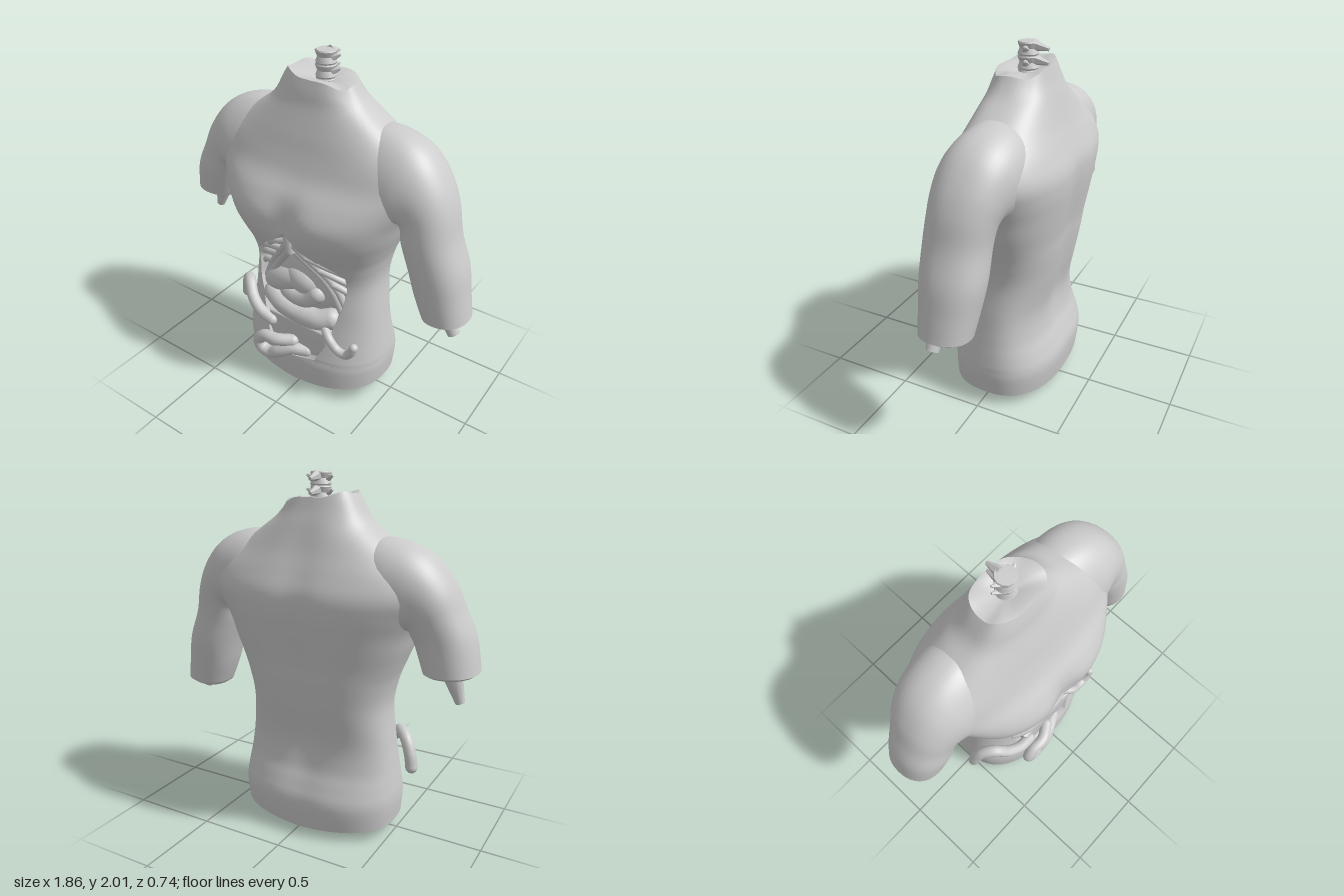
import * as THREE from 'three';
import { toCreasedNormals } from 'three/addons/utils/BufferGeometryUtils.js';

const MID = -0.03; // x of the body's centre line
const material = new THREE.MeshStandardMaterial({ color: 0xcccccc, side: THREE.DoubleSide });
const V = (x, y, z) => new THREE.Vector3(x, y, z);
const spow = (v, p) => Math.sign(v) * Math.abs(v) ** p;
const bell = (v, r) => Math.exp(-((v / r) ** 2));
const span = (a, b, n, f) => Array.from({ length: n + 1 }, (_, i) => f(a + (b - a) * i / n));

function mesh(name, geometry) {
  const m = new THREE.Mesh(geometry, material);
  m.name = name;
  return m;
}

// Skin through rows of points; collapsed triangles are dropped
function loft(name, rows, crease = 0.8) {
  const pos = [];
  const tri = (a, b, c) => {
    if (a.distanceTo(b) > 1e-5 && b.distanceTo(c) > 1e-5 && c.distanceTo(a) > 1e-5)
      for (const p of [a, b, c]) pos.push(p.x, p.y, p.z);
  };
  for (let i = 0; i < rows.length - 1; i++)
    for (let j = 0; j < rows[i].length - 1; j++) {
      const a = rows[i][j], b = rows[i][j + 1], c = rows[i + 1][j + 1], d = rows[i + 1][j];
      tri(a, b, c);
      tri(a, c, d);
    }
  const g = new THREE.BufferGeometry();
  g.setAttribute('position', new THREE.Float32BufferAttribute(pos, 3));
  return mesh(name, toCreasedNormals(g, crease));
}

// Catmull-Rom refinement of a table of numbers
function refine(table, n = 6) {
  const out = [], last = table.length - 1;
  for (let i = 0; i < last; i++)
    for (let k = 0; k < n; k++) {
      const t = k / n, [p, a, b, q] = [Math.max(i - 1, 0), i, i + 1, Math.min(i + 2, last)].map((m) => table[m]);
      out.push(a.map((v, c) => v + 0.5 * t * (b[c] - p[c] + t * (2 * p[c] - 5 * v + 4 * b[c] - q[c] + t * (3 * (v - b[c]) + q[c] - p[c])))));
    }
  return [...out, table[last]];
}

// Linear lookup by the first column
function at(table, y) {
  if (y <= table[0][0]) return table[0];
  for (let i = 1; i < table.length; i++) {
    const a = table[i - 1], b = table[i];
    if (y <= b[0]) return a.map((v, c) => v + (b[c] - v) * (y - a[0]) / (b[0] - a[0]));
  }
  return table[table.length - 1];
}

// Torso profile: y, half width, front z, back z
const body = refine([
  [0.07, 0.47, 0.30, -0.325], [0.2, 0.48, 0.30, -0.34], [0.3, 0.47, 0.28, -0.31], [0.4, 0.455, 0.26, -0.275],
  [0.55, 0.435, 0.24, -0.265], [0.75, 0.415, 0.235, -0.305], [0.9, 0.44, 0.28, -0.33], [1.0, 0.475, 0.33, -0.34],
  [1.1, 0.515, 0.37, -0.355], [1.2, 0.55, 0.375, -0.37], [1.3, 0.60, 0.325, -0.38], [1.4, 0.645, 0.25, -0.375],
  [1.5, 0.62, 0.205, -0.335], [1.6, 0.49, 0.17, -0.29], [1.68, 0.38, 0.14, -0.26], [1.75, 0.285, 0.115, -0.235],
  [1.81, 0.235, 0.10, -0.21], [1.87, 0.195, 0.08, -0.19],
]);
// Belly opening: y, right and left edge measured from the centre line
const opening = [
  [0.21, 0, 0], [0.24, -0.17, 0.16], [0.35, -0.21, 0.22], [0.45, -0.25, 0.24], [0.55, -0.28, 0.27], [0.62, -0.31, 0.29],
  [0.75, -0.32, 0.31], [0.85, -0.29, 0.31], [0.9, -0.24, 0.27], [0.97, -0.17, 0.18], [1.03, -0.08, 0.09], [1.1, 0, 0],
];

// Torso surface point at angle a from the front
function skin(a, y) {
  const [, w, zf, zb] = at(body, y), c = Math.cos(a), dx = w * spow(Math.sin(a), 0.8);
  let z = -0.03 + (c > 0 ? zf + 0.03 : -zb - 0.03) * spow(c, 0.8);
  if (c > 0) z -= 0.045 * bell(dx, 0.1) * bell(y - 1.17, 0.13);
  else z += 0.03 * bell(dx, 0.1) * bell(y - 0.95, 0.6);
  const neck = THREE.MathUtils.smoothstep(y, 1.72, 1.87), hem = 1 - THREE.MathUtils.smoothstep(y, 0.07, 0.2);
  return V(MID + dx, y + neck * (0.005 - 0.13 * dx + 0.008 * Math.sin(5 * a)) - hem * 0.035 * (1 - Math.abs(dx) / w), z);
}
const angleAt = (dx, y) => Math.sign(dx) * Math.asin(Math.min(1, Math.abs(dx) / at(body, y)[1]) ** 1.25);
const onSkin = (x, y, offset) => V(x, y, skin(angleAt(x - MID, y), y).z + offset);

// Copy of a row shrunk towards a point on the centre line, blending its height to y
const shrink = (row, k, y, cz, flat = 1) => row.map((p) => V(MID + (p.x - MID) * k, p.y + (y - p.y) * flat, cz + (p.z - cz) * k));

function torso(group) {
  const ys = [0.07, 0.1, 0.14, 0.18, 0.21, ...span(0.24, 1.1, 48, (y) => y), ...span(1.12, 1.87, 36, (y) => y)];
  const rows = ys.map((y) => {
    const [, r, l] = at(opening, y);
    return span(angleAt(l, y), 2 * Math.PI + angleAt(r, y), 120, (a) => skin(a, y));
  });
  const base = rows[0], rim = rows[rows.length - 1];
  group.add(loft('torso', [shrink(base, 0, 0, 0), shrink(base, 0.55, 0.008, 0), ...rows], 0.7));
  group.add(loft('neckStump', [rim, shrink(rim, 0.75, 1.875, -0.06, 0.5), shrink(rim, 0.4, 1.85, -0.06, 0.9), shrink(rim, 0, 1.84, -0.06)], 1));
  // Hollow behind the opening
  group.add(loft('bellyCavity', ys.filter((y) => y >= 0.21 && y <= 1.1001).map((y) => {
    const [, r, l] = at(opening, y), a = skin(angleAt(r, y), y), b = skin(angleAt(l, y), y);
    const depth = 0.13 * Math.min(1, (l - r) / 0.3);
    return span(0, 1, 24, (t) => a.clone().lerp(b, t).add(V(0, 0, -depth * Math.sqrt(Math.max(0, Math.sin(Math.PI * t))))));
  }), 1));
}

// Arm sections: outer x y, inner x y, front z, back z, forward lean of the lower front
const shoulder = [
  [0.24, 1.66, 0.30, 1.22, 0.10, -0.22, 0.03], [0.38, 1.685, 0.42, 1.17, 0.165, -0.265, 0.05], [0.53, 1.66, 0.495, 1.18, 0.175, -0.262, 0.05],
  [0.65, 1.59, 0.525, 1.20, 0.165, -0.245, 0.035], [0.745, 1.47, 0.535, 1.21, 0.155, -0.225, 0.02], [0.805, 1.34, 0.54, 1.19, 0.15, -0.205, 0.01],
];
const longArm = [
  [0.845, 1.18, 0.55, 1.12, 0.155, -0.19, 0], [0.905, 1.01, 0.60, 0.97, 0.15, -0.19, 0],
  [0.935, 0.86, 0.645, 0.83, 0.14, -0.17, 0], [0.96, 0.73, 0.70, 0.70, 0.13, -0.15, 0],
];
const shortArm = [[0.865, 1.2, 0.56, 1.14, 0.15, -0.19, 0], [0.90, 1.03, 0.61, 1.01, 0.13, -0.19, 0]];

function arm(name, side, sections) {
  const rows = refine([...shoulder, ...sections]).map(([ox, oy, ix, iy, zf, zb, lean]) => span(0, 2 * Math.PI, 40, (t) => {
    const c = spow(Math.cos(t), 0.9), s = spow(Math.sin(t), 0.9) * side;
    const z = (zf + zb) / 2 + (zf - zb) / 2 * s - lean * c * Math.max(0, s);
    return V(MID + side * ((ox + ix) / 2 + (ox - ix) / 2 * c), (oy + iy) / 2 + (oy - iy) / 2 * c, z);
  }));
  const end = rows[rows.length - 1], mid = end[0].clone().add(end[20]).multiplyScalar(0.5);
  rows.push(end.map((p) => p.clone().lerp(mid, 0.15).add(V(0, -0.015, 0))), end.map(() => mid.clone().add(V(0, -0.02, 0))));
  return loft(name, rows, 0.7);
}

// Rounded tube through points
function tube(name, pts, r, ends = true) {
  const g = new THREE.Group();
  g.name = name;
  g.add(mesh(name + 'Tube', new THREE.TubeGeometry(new THREE.CatmullRomCurve3(pts), pts.length * 8, r, 14)));
  if (ends) for (const p of [pts[0], pts[pts.length - 1]]) {
    const cap = mesh(name + 'End', new THREE.SphereGeometry(r, 14, 10));
    cap.position.copy(p);
    g.add(cap);
  }
  return g;
}

// Tapered bar between two points
function bar(name, a, b, ra, rb, sides = 10) {
  const m = mesh(name, toCreasedNormals(new THREE.CylinderGeometry(rb, ra, a.distanceTo(b), sides), 0.8));
  m.position.copy(a).lerp(b, 0.5);
  m.quaternion.setFromUnitVectors(V(0, 1, 0), b.clone().sub(a).normalize());
  return m;
}

function blob(name, pos, size, tilt = 0) {
  const m = mesh(name, new THREE.SphereGeometry(1, 32, 20));
  m.position.set(...pos);
  m.scale.set(...size);
  m.rotation.z = tilt;
  return m;
}

function neckSpine() {
  const g = new THREE.Group();
  g.name = 'neckSpine';
  const profile = [[0, -0.037], [0.052, -0.037], [0.057, -0.028], [0.046, 0], [0.056, 0.028], [0.052, 0.035], [0, 0.035]].map((p) => new THREE.Vector2(...p));
  for (let i = 0; i < 3; i++) {
    const y = 1.821 + i * 0.072, z = -0.062;
    const vertebra = mesh('vertebra', toCreasedNormals(new THREE.LatheGeometry(profile, 12), 0.6));
    vertebra.position.set(MID, y, z);
    g.add(vertebra, bar('spinousProcess', V(MID, y + 0.015, z - 0.03), V(MID, y, z - 0.115), 0.032, 0.01, 6));
    for (const s of [-1, 1])
      g.add(bar('transverseProcess', V(MID + s * 0.03, y - 0.005, z), V(MID + s * 0.078, y + 0.015, z - 0.015), 0.025, 0.006, 6));
  }
  return g;
}

function ribcage() {
  const g = new THREE.Group();
  g.name = 'ribcage';
  g.add(bar('sternum', onSkin(MID, 1.10, -0.025), onSkin(MID, 0.96, -0.03), 0.018, 0.034, 8));
  for (const s of [-1, 1]) {
    // Doubled arch makes a broad band of cartilage
    for (const [shift, r] of [[0, 0.024], [0.03, 0.022]]) {
      const arch = [[0.01, 0.97], [0.08, 0.875], [0.16, 0.775], [0.22, 0.68], [0.265, 0.58]];
      g.add(tube('costalArch', arch.map(([x, y]) => onSkin(MID + s * (x + shift * 0.6), y + shift, -0.045)), r));
    }
    // Ribs sloping from the arch out under the skin
    for (const [x, y, ex, ey] of [[0.03, 1.02, 0.17, 0.94], [0.08, 0.93, 0.29, 0.85], [0.14, 0.85, 0.32, 0.76], [0.2, 0.76, 0.33, 0.68]])
      g.add(tube('rib', [onSkin(MID + s * x, y, -0.04), onSkin(MID + s * (x * 0.45 + ex * 0.55), y * 0.5 + ey * 0.5 + 0.012, -0.035), onSkin(MID + s * ex, ey, -0.04)], 0.019, false));
  }
  return g;
}

function organs() {
  const g = new THREE.Group();
  g.name = 'organs';
  const path = (list, z) => list.map(([x, y, dz = 0]) => V(x, y, z + dz));
  g.add(blob('diaphragm', [MID, 0.7, 0.11], [0.26, 0.24, 0.085]));
  g.add(blob('liver', [-0.16, 0.655, 0.15], [0.175, 0.085, 0.085], 0.45), blob('liverLobe', [-0.03, 0.69, 0.15], [0.13, 0.09, 0.08], -0.25));
  g.add(tube('stomach', path([[-0.13, 0.585, -0.01], [-0.06, 0.575], [0.02, 0.595], [0.07, 0.64, -0.01]], 0.178), 0.06));
  g.add(tube('largeIntestine', path([[-0.25, 0.52, -0.02], [-0.16, 0.495, 0.01], [-0.03, 0.475, 0.015], [0.1, 0.48, 0.01], [0.17, 0.5, -0.02]], 0.19), 0.065));
  // This loop wraps back round the right side of the waist
  g.add(tube('rightGutLoop', path([[-0.54, 0.35, -0.17], [-0.525, 0.42, -0.16], [-0.485, 0.50, -0.13], [-0.43, 0.525, -0.08], [-0.37, 0.47, -0.03], [-0.29, 0.42], [-0.2, 0.385]], 0.265), 0.036));
  g.add(tube('leftGutLoop', path([[0.17, 0.46, -0.03], [0.22, 0.43], [0.27, 0.38], [0.33, 0.37], [0.37, 0.41], [0.385, 0.45]], 0.26), 0.026));
  g.add(tube('lowerGutLoop', path([[-0.04, 0.3, -0.05], [-0.13, 0.3], [-0.22, 0.285], [-0.265, 0.23], [-0.24, 0.18], [-0.18, 0.17], [-0.11, 0.215], [-0.03, 0.255, -0.03], [0.05, 0.25, -0.07]], 0.32), 0.038));
  // Folded membrane at the bottom of the opening
  const shape = new THREE.Shape([[-0.21, 0.43], [-0.21, 0.33], [-0.18, 0.25], [0, 0.235], [0.11, 0.26], [0.17, 0.36], [0.19, 0.43]].map((p) => new THREE.Vector2(...p)));
  const sac = mesh('membrane', toCreasedNormals(new THREE.ExtrudeGeometry(shape, { depth: 0.075, bevelSize: 0.02, bevelThickness: 0.02, bevelSegments: 4 }), 0.7));
  sac.position.z = 0.165;
  g.add(sac);
  return g;
}

export function createModel() {
  const group = new THREE.Group();
  group.name = 'anatomicalTorso';
  torso(group);
  group.add(arm('leftArm', 1, longArm), arm('rightArm', -1, shortArm));
  group.add(bar('leftArmBone', V(0.82, 0.73, 0.03), V(0.87, 0.64, 0.03), 0.042, 0.036));
  group.add(bar('rightArmBone', V(-0.78, 1.03, -0.03), V(-0.84, 0.85, -0.03), 0.06, 0.025));
  group.add(neckSpine(), ribcage(), organs());
  return group;
}
